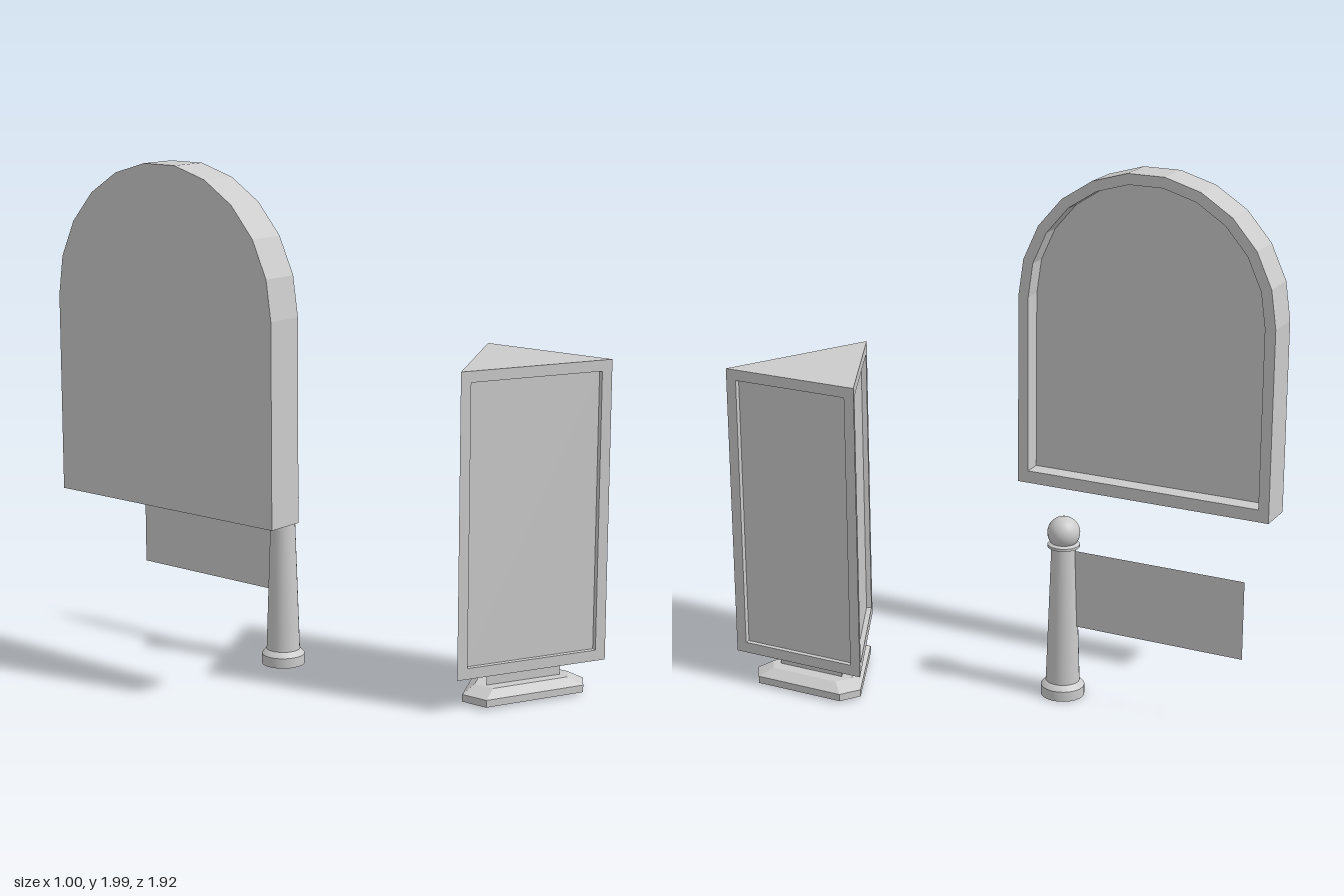
import * as THREE from 'three';
import { toCreasedNormals, mergeGeometries } from 'three/addons/utils/BufferGeometryUtils.js';

const material = new THREE.MeshStandardMaterial({ color: 0xcccccc });
const V = (x, y, z) => new THREE.Vector3(x, y, z);

// Joins matching convex loops with flat faces and closes the ends
function loft(loops, capStart = true, capEnd = true) {
  const pos = [];
  const tri = (...pts) => pts.forEach((p) => pos.push(p.x, p.y, p.z));
  const n = loops[0].length;
  for (let k = 0; k < loops.length - 1; k++) {
    const a = loops[k], b = loops[k + 1];
    for (let i = 0; i < n; i++) {
      const j = (i + 1) % n;
      tri(a[i], a[j], b[j]);
      tri(a[i], b[j], b[i]);
    }
  }
  const cap = (loop, flip) => {
    for (let i = 1; i < n - 1; i++) {
      if (flip) tri(loop[0], loop[i + 1], loop[i]);
      else tri(loop[0], loop[i], loop[i + 1]);
    }
  };
  if (capStart) cap(loops[0], true);
  if (capEnd) cap(loops[n ? loops.length - 1 : 0], false);
  const g = new THREE.BufferGeometry();
  g.setAttribute('position', new THREE.Float32BufferAttribute(pos, 3));
  g.computeVertexNormals();
  return g;
}

function add(parent, name, geometry, mat = material) {
  const mesh = new THREE.Mesh(geometry, mat);
  mesh.name = name;
  parent.add(mesh);
  return mesh;
}

// Arched outline standing in the plane at x
function archLoop(x, radius, bottom) {
  const cy = 1.465, cz = -0.38, steps = 11;
  const pts = [V(x, bottom, cz + radius), V(x, bottom, cz - radius)];
  for (let i = 0; i <= steps; i++) {
    const a = (i / steps) * Math.PI;
    pts.push(V(x, cy + radius * Math.sin(a), cz - radius * Math.cos(a)));
  }
  return pts;
}

// Horizontal loop of [x, z] points at height y, scaled about the kiosk centre
const flatLoop = (pts, y, s = 1) =>
  pts.map(([x, z]) => V(0.307 + (x - 0.307) * s, y, 0.68 + (z - 0.68) * s));

function makeKiosk() {
  const kiosk = new THREE.Group();
  kiosk.name = 'triangularKiosk';
  const corners = [[-0.07, 0.68], [0.495, 0.96], [0.495, 0.4]];
  const y0 = 0.13, y1 = 1.285, margin = 0.042, depth = 0.02;
  const low = flatLoop(corners, y0), high = flatLoop(corners, y1);

  // Three framed sides, each with a sunken panel
  const sides = low.map((p, i) => {
    const q = low[(i + 1) % 3];
    const along = q.clone().sub(p).normalize();
    const inward = along.clone().cross(V(0, 1, 0)).multiplyScalar(-depth);
    const outer = [p, q, high[(i + 1) % 3], high[i]];
    const inner = outer.map((c, k) => c.clone()
      .addScaledVector(along, k === 0 || k === 3 ? margin : -margin)
      .add(V(0, k < 2 ? margin : -margin, 0)));
    return loft([outer, inner, inner.map((c) => c.clone().add(inward))], false, true);
  });
  add(kiosk, 'framedSides', mergeGeometries(sides));

  // Top and bottom lids
  const lid = (loop) => new THREE.BufferGeometry().setFromPoints(loop);
  const lids = lid([...high, low[0], low[2], low[1]]);
  lids.computeVertexNormals();
  add(kiosk, 'lids', lids);

  add(kiosk, 'neck', loft([flatLoop(corners, 0.06, 0.5), flatLoop(corners, 0.135, 0.5)]));

  // Foot: a triangle with cut corners and a bevelled top
  const foot = [[0.04, 0.625], [0.04, 0.735], [0.42, 0.915], [0.495, 0.865], [0.495, 0.495], [0.42, 0.445]];
  add(kiosk, 'foot', loft([flatLoop(foot, 0.01), flatLoop(foot, 0.038), flatLoop(foot, 0.066, 0.77)]));
  return kiosk;
}

function makePost() {
  const post = new THREE.Group();
  post.name = 'flagPost';
  post.position.set(0.01, 0, -0.225);
  const profile = [
    [0, 0], [0.085, 0], [0.085, 0.04], [0.069, 0.058], [0.066, 0.06], [0.047, 0.612],
    [0.062, 0.612], [0.062, 0.622], [0.048, 0.63], [0, 0.63],
  ].map(([r, y]) => new THREE.Vector2(r, y));
  add(post, 'shaft', toCreasedNormals(new THREE.LatheGeometry(profile, 24), 0.5));
  add(post, 'ball', new THREE.SphereGeometry(0.063, 24, 16)).position.y = 0.668;

  // Thin flag board on the back of the post
  const board = add(post, 'flagBoard', new THREE.PlaneGeometry(0.73, 0.31),
    new THREE.MeshStandardMaterial({ color: 0xcccccc, side: THREE.DoubleSide }));
  board.rotation.y = Math.PI / 2;
  board.position.set(0, 0.445, -0.375);
  return post;
}

export function createModel() {
  const model = new THREE.Group();
  model.name = 'signSet';

  // Arched sign: flat back, raised rim and sunken face
  add(model, 'archedSign', loft([
    archLoop(-0.5, 0.535, 0.7),
    archLoop(-0.35, 0.535, 0.7),
    archLoop(-0.35, 0.492, 0.75),
    archLoop(-0.425, 0.492, 0.75),
  ]));

  model.add(makePost(), makeKiosk());
  return model;
}
